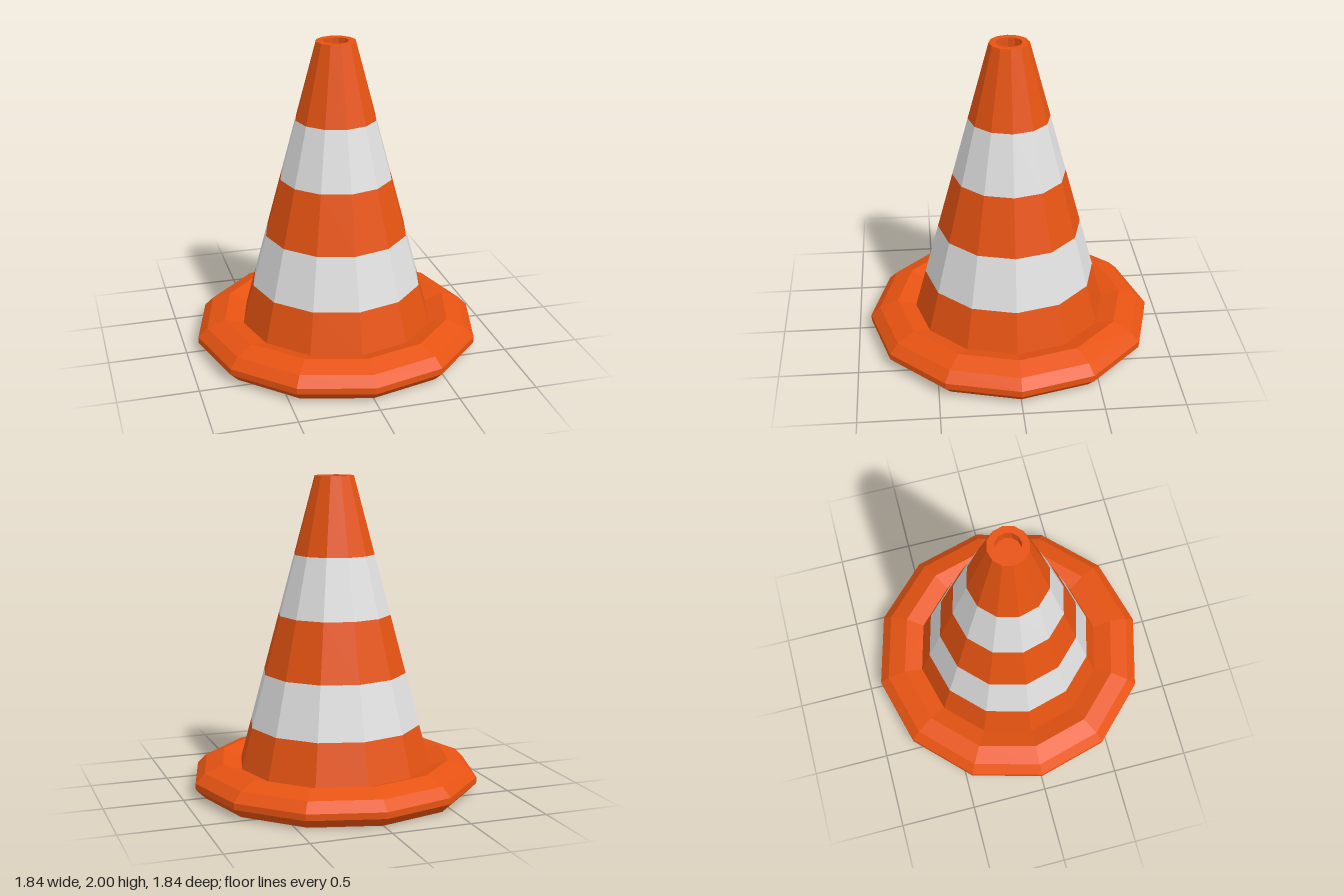
import * as THREE from 'three';

const SIDES = 12;

export function createModel() {
  const model = new THREE.Group();
  model.name = 'trafficCone';

  const orange = new THREE.MeshStandardMaterial({ color: 0xe65312, flatShading: true });
  orange.name = 'orange';
  const white = new THREE.MeshStandardMaterial({ color: 0xe0e0e0, flatShading: true });
  white.name = 'reflectiveWhite';

  // Twelve-sided turned part from [radius, height] pairs
  function turned(name, profile, material) {
    const points = profile.map(([r, y]) => new THREE.Vector2(r, y));
    const mesh = new THREE.Mesh(new THREE.LatheGeometry(points, SIDES), material);
    mesh.name = name;
    model.add(mesh);
  }

  // Outer radius of the cone at a given height
  const radiusAt = (y) => 0.125 + (2 - y) * 0.27;

  // Bevelled foot with a shallow inward slope around the cone
  turned('base', [
    [0.47, 0.2], [0.51, 0], [0.86, 0], [0.92, 0.06], [0.92, 0.1],
    [0.86, 0.16], [0.74, 0.205], [radiusAt(0.165), 0.165],
  ], orange);

  // Alternating bands of the cone wall
  const levels = [0.165, 0.425, 0.76, 1.13, 1.51, 2];
  for (let i = 0; i < levels.length - 1; i++) {
    const striped = i % 2 === 1;
    turned(
      (striped ? 'whiteStripe' : 'orangeBand') + (i + 1),
      [levels[i], levels[i + 1]].map((y) => [radiusAt(y), y]),
      striped ? white : orange,
    );
  }

  // Top rim with a recessed hole
  turned('topRim', [[0.125, 2], [0.08, 2], [0.08, 1.93], [0, 1.93]], orange);

  // Hollow inside, open at the bottom
  turned('innerWall', [[0, 1.9], [0.09, 1.9], [0.47, 0.2]], orange);

  return model;
}
